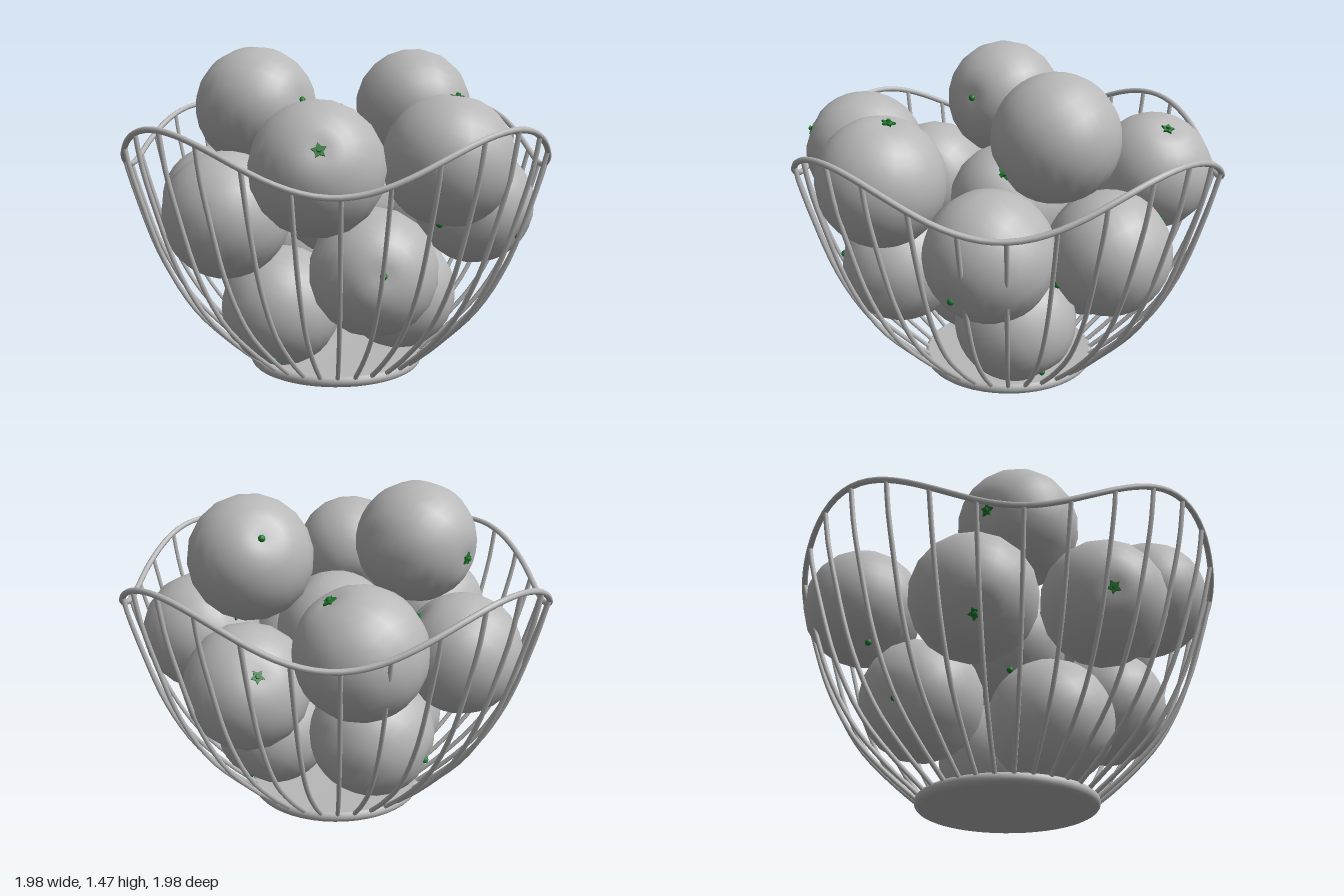
import * as THREE from 'three';

const R = 0.273;
const RIBS = 32;

// fruit: centre, then direction of the leafy end
const FRUITS = [
  [[0.24, 0.915, -0.63], [0.124, 0.22, 0.02]],
  [[-0.41, 0.735, -0.42], [-0.17, -0.17, -0.09]],
  [[-0.33, 1.2, -0.15], [-0.12, -0.045, -0.24]],
  [[0.42, 1.185, 0], [-0.045, -0.13, 0.215]],
  [[0.54, 0.685, -0.2], [0.05, 0.12, -0.21]],
  [[-0.595, 0.775, 0.11], [-0.22, -0.06, -0.12]],
  [[-0.39, 1.01, 0.545], [-0.1, 0.095, 0.2]],
  [[0.15, 1.02, 0.67], [0.055, 0.26, -0.02]],
  [[0.52, 0.765, 0.36], [-0.09, 0.125, -0.22]],
  [[0, 0.79, 0], [0.15, 0.2, 0.08]],
  [[0.05, 0.44, -0.41], [0.15, 0.08, 0.2]],
  [[-0.1, 0.55, 0.5], [0.1, -0.045, -0.24]],
  [[-0.3, 0.315, 0.03], [0.1, 0.2, -0.12]],
  [[0.275, 0.325, 0.11], [-0.15, 0.2, 0.05]],
];

// side profile of the basket: radius at each height
const PROFILE = [[0.39, 0.04], [0.52, 0.15], [0.68, 0.32], [0.81, 0.55], [0.91, 0.84], [0.955, 1.0], [0.985, 1.17]];

function radiusAt(y) {
  let i = 0;
  while (i < PROFILE.length - 2 && y > PROFILE[i + 1][1]) i++;
  const [r0, y0] = PROFILE[i], [r1, y1] = PROFILE[i + 1];
  return r0 + (r1 - r0) * (y - y0) / (y1 - y0);
}

// four soft waves around the rim; angle runs from +z towards +x
const rimHeight = (a) => 1.053 + 0.112 * Math.cos(4 * (a - 0.27));
const ringPoint = (a, r, y) => new THREE.Vector3(Math.sin(a) * r, y, Math.cos(a) * r);

function createBasket(metal) {
  const basket = new THREE.Group();
  basket.name = 'basket';
  const add = (name, geometry) => {
    const mesh = new THREE.Mesh(geometry, metal);
    mesh.name = name;
    basket.add(mesh);
  };

  // base plate with a rounded edge
  const edge = [[0, 0], [0.385, 0]];
  for (let i = 0; i <= 6; i++) {
    const t = -Math.PI / 2 + Math.PI * i / 6;
    edge.push([0.385 + 0.02 * Math.cos(t), 0.026 + 0.024 * Math.sin(t)]);
  }
  edge.push([0.37, 0.045], [0, 0.045]);
  add('basePlate', new THREE.LatheGeometry(edge.map((p) => new THREE.Vector2(...p)), 48));

  // wavy rim
  const rim = [];
  for (let i = 0; i < 64; i++) {
    const a = i / 64 * Math.PI * 2, y = rimHeight(a);
    rim.push(ringPoint(a, radiusAt(y), y));
  }
  add('rim', new THREE.TubeGeometry(new THREE.CatmullRomCurve3(rim, true), 128, 0.013, 8, true));

  // curved wires from base to rim
  for (let i = 0; i < RIBS; i++) {
    const a = (i + 0.5) / RIBS * Math.PI * 2, top = rimHeight(a);
    const points = PROFILE.filter((p) => p[1] < top - 0.06).map(([r, y]) => ringPoint(a, r, y));
    points.push(ringPoint(a, radiusAt(top), top));
    add('rib', new THREE.TubeGeometry(new THREE.CatmullRomCurve3(points), 18, 0.0105, 6));
  }
  return basket;
}

function createFruits(skin, green) {
  const fruits = new THREE.Group();
  fruits.name = 'fruits';

  // round body, dimpled at both ends
  const outline = [];
  for (let i = 0; i <= 18; i++) {
    const t = Math.PI * (1 - i / 18), s = Math.sin(t);
    const r = R * (1 - 0.06 * Math.exp(-((s / 0.2) ** 2)));
    outline.push(new THREE.Vector2(i % 18 ? r * s : 0, r * Math.cos(t)));
  }
  const body = new THREE.LatheGeometry(outline, 18);

  // five-pointed leaf star
  const star = new THREE.Shape();
  for (let i = 0; i < 10; i++) {
    const a = i / 10 * Math.PI * 2, r = i % 2 ? 0.017 : 0.031;
    star[i ? 'lineTo' : 'moveTo'](r * Math.cos(a), r * Math.sin(a));
  }
  const leaf = new THREE.ExtrudeGeometry(star, { depth: 0.009, bevelEnabled: false });
  leaf.rotateX(-Math.PI / 2);
  const stub = new THREE.CylinderGeometry(0.009, 0.012, 0.024, 6);
  const tip = new THREE.SphereGeometry(0.016, 8, 6);

  FRUITS.forEach(([centre, axis], i) => {
    const fruit = new THREE.Group();
    fruit.name = 'fruit' + (i + 1);
    const part = (name, geometry, material, y) => {
      const mesh = new THREE.Mesh(geometry, material);
      mesh.name = name;
      mesh.position.y = y;
      fruit.add(mesh);
    };
    part('fruitBody', body, skin, 0);
    part('leafStar', leaf, green, R * 0.95);
    part('stemStub', stub, green, R * 0.98);
    part('blossomTip', tip, green, -R * 0.95);
    fruit.position.set(...centre);
    fruit.quaternion.setFromUnitVectors(new THREE.Vector3(0, 1, 0), new THREE.Vector3(...axis).normalize());
    fruits.add(fruit);
  });
  return fruits;
}

export function createModel() {
  const grey = new THREE.MeshStandardMaterial({ color: 0xb8b8b8 });
  grey.name = 'light grey';
  const green = new THREE.MeshStandardMaterial({ color: 0x1f7a30 });
  green.name = 'leaf green';

  const model = new THREE.Group();
  model.name = 'fruitBasket';
  model.add(createBasket(grey), createFruits(grey, green));
  return model;
}
